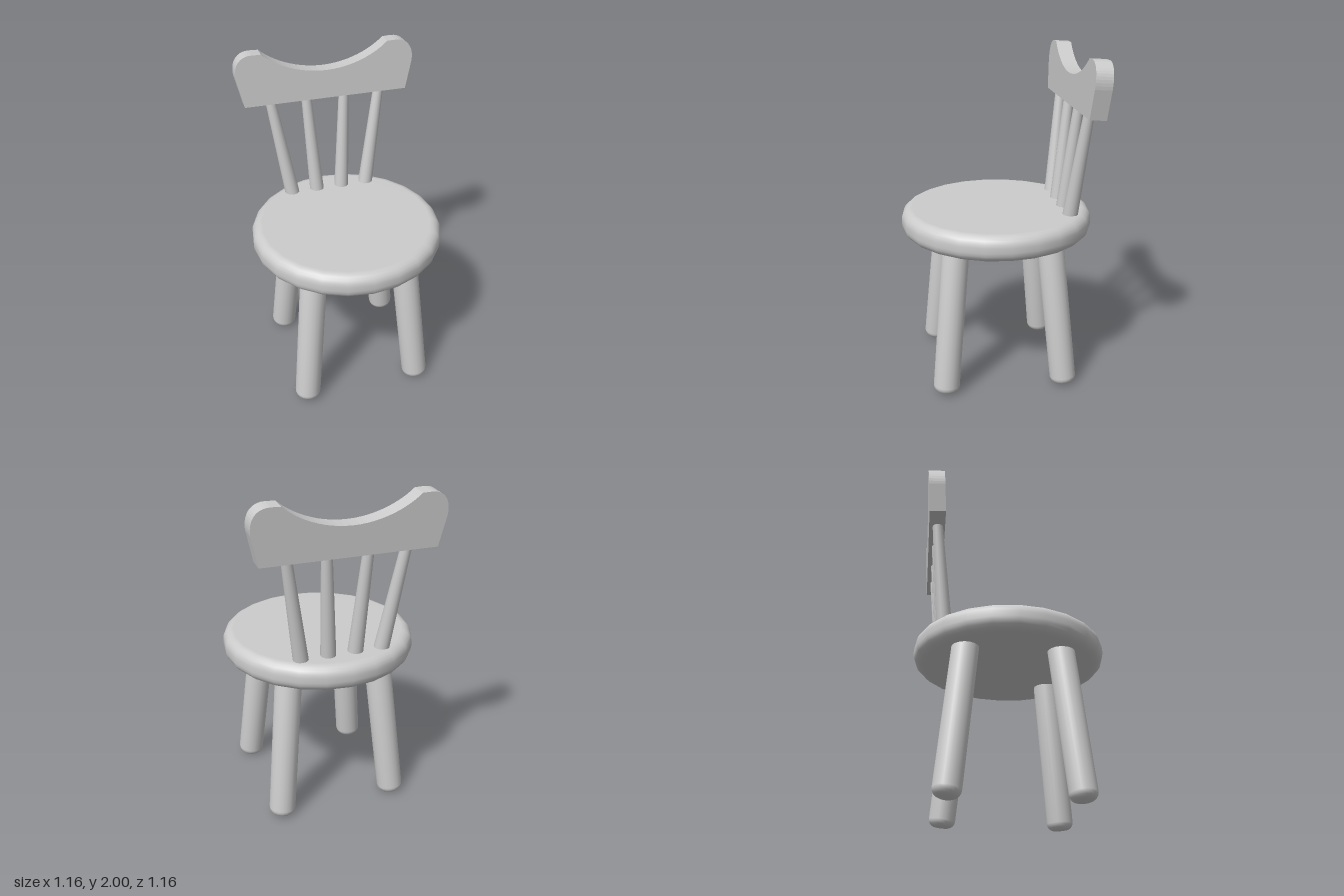
import * as THREE from 'three';

const material = new THREE.MeshStandardMaterial({ color: 0xcccccc });
const V2 = (x, y) => new THREE.Vector2(x, y);
const V3 = (x, y, z) => new THREE.Vector3(x, y, z);

function addMesh(parent, geometry, name) {
  const mesh = new THREE.Mesh(geometry, material);
  mesh.name = name;
  parent.add(mesh);
  return mesh;
}

// Quarter circle of profile points around (cx, cy), from angle a to angle b
function arc(cx, cy, r, a, b, steps = 5) {
  return Array.from({ length: steps + 1 }, (_, i) => {
    const t = a + ((b - a) * i) / steps;
    return V2(cx + r * Math.cos(t), cy + r * Math.sin(t));
  });
}

// Stand a part whose axis is +y on 'from', pointing at 'to'
function aim(mesh, from, to) {
  mesh.position.copy(from);
  mesh.quaternion.setFromUnitVectors(V3(0, 1, 0), to.clone().sub(from).normalize());
}

export function createModel() {
  const group = new THREE.Group();
  group.name = 'chair';
  const H = Math.PI / 2;

  // Round seat with softened rims
  const seat = [
    V2(0, 0.91),
    ...arc(0.515, 0.975, 0.065, -H, 0),
    ...arc(0.515, 1.005, 0.065, 0, H),
    V2(0, 1.07),
  ];
  addMesh(group, new THREE.LatheGeometry(seat, 24), 'seat');

  // Four splayed legs with rounded feet
  const legLength = 0.96;
  const legProfile = [
    V2(0, 0),
    ...arc(0.035, 0.045, 0.045, -H, 0),
    V2(0.08, legLength),
    V2(0, legLength),
  ];
  const legGeometry = new THREE.LatheGeometry(legProfile, 20);
  for (const [sz, end] of [[1, 'front'], [-1, 'back']]) {
    for (const [sx, side] of [[1, 'Left'], [-1, 'Right']]) {
      const leg = addMesh(group, legGeometry, `${end}${side}Leg`);
      aim(leg, V3(0.365 * sx, 0.007, 0.365 * sz), V3(0.277 * sx, 0.95, 0.277 * sz));
    }
  }

  // Fanned, tapering spindles
  for (const [xLow, xHigh] of [[-0.245, -0.345], [-0.082, -0.12], [0.082, 0.12], [0.245, 0.345]]) {
    const from = V3(xLow, 1.05, -0.405);
    const to = V3(xHigh, 1.71, -0.473);
    const length = from.distanceTo(to);
    const geometry = new THREE.CylinderGeometry(0.031, 0.046, length, 16).translate(0, length / 2, 0);
    aim(addMesh(group, geometry, 'spindle'), from, to);
  }

  // Top rail: rounded ears and a dipped upper edge, leaning back
  const outline = new THREE.Shape();
  outline.moveTo(-0.505, 0);
  outline.lineTo(0.505, 0);
  outline.lineTo(0.543, 0.17);
  outline.bezierCurveTo(0.556, 0.245, 0.525, 0.315, 0.44, 0.315);
  outline.lineTo(0.385, 0.313);
  outline.bezierCurveTo(0.31, 0.245, 0.17, 0.176, 0, 0.176);
  outline.bezierCurveTo(-0.17, 0.176, -0.31, 0.245, -0.385, 0.313);
  outline.lineTo(-0.44, 0.315);
  outline.bezierCurveTo(-0.525, 0.315, -0.556, 0.245, -0.543, 0.17);
  outline.closePath();
  const depth = 0.097;
  const railGeometry = new THREE.ExtrudeGeometry(outline, { depth, bevelEnabled: false, curveSegments: 12 });
  railGeometry.translate(0, 0, -depth / 2);
  const rail = addMesh(group, railGeometry, 'topRail');
  rail.position.set(0, 1.686, -0.475);
  rail.rotation.x = -0.066;

  return group;
}
